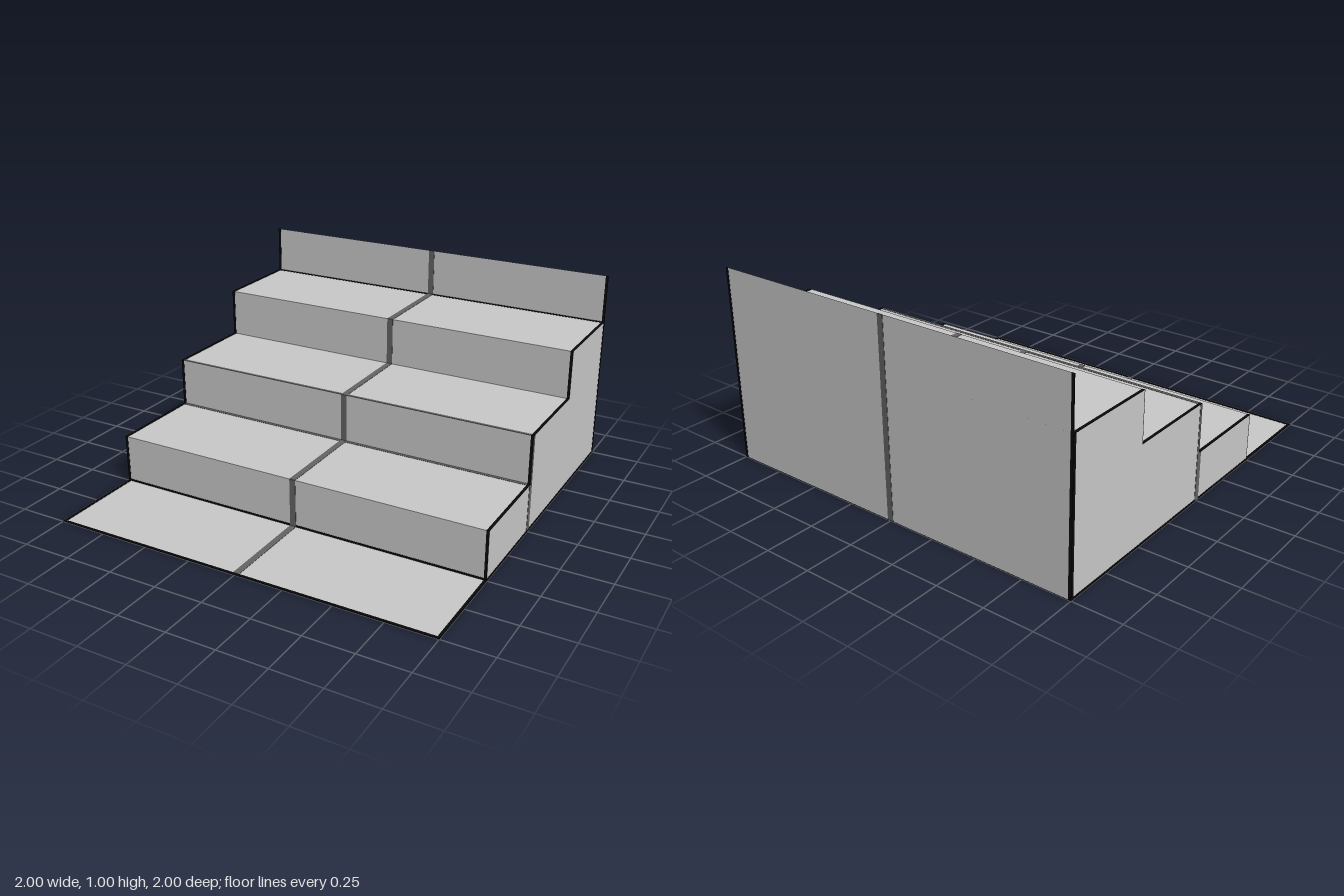
import * as THREE from 'three';

export function createModel() {
  const model = new THREE.Group();
  model.name = 'staircase';
  const paint = (name, color, side = THREE.FrontSide) => {
    const m = new THREE.MeshStandardMaterial({ color, side });
    m.name = name;
    return m;
  };
  const grey = paint('lightGrey', 0xc8c8c8, THREE.DoubleSide);
  const dark = paint('darkGrey', 0x646464);
  const black = paint('black', 0x0a0a0a);
  const add = (name, geometry, material) => {
    const mesh = new THREE.Mesh(geometry, material);
    mesh.name = name;
    model.add(mesh);
    return mesh;
  };

  // Thin painted plate between two corners, centred on its surface
  const T = 0.003;
  const plate = (name, mat, [x0, x1], [y0, y1], [z0, z1]) => {
    const g = new THREE.BoxGeometry(x1 - x0 || T, y1 - y0 || T, z1 - z0 || T);
    add(name, g, mat).position.set((x0 + x1) / 2, (y0 + y1) / 2, (z0 + z1) / 2);
  };

  // Solid steps: side profile (z, y) swept across the width
  const profile = [[0.5, 0], [0.5, 0.25], [0, 0.25], [0, 0.5], [-0.5, 0.5], [-0.5, 0.75], [-1, 0.75], [-1, 0]];
  const shape = new THREE.Shape(profile.map(([z, y]) => new THREE.Vector2(-z, y)));
  const steps = new THREE.ExtrudeGeometry(shape, { depth: 2, bevelEnabled: false });
  steps.translate(0, 0, -1).rotateY(Math.PI / 2);
  add('steps', steps, grey);

  // Sheets that continue the back wall and the floor
  add('backWallTop', new THREE.PlaneGeometry(2, 0.25), grey).position.set(0, 0.875, -1);
  const floor = new THREE.PlaneGeometry(2, 0.5).rotateX(-Math.PI / 2);
  add('frontFloor', floor, grey).position.set(0, 0, 0.75);

  // Lines running over every tread, riser, the wall and the underside
  const W = 0.016, E = 0.014;
  const runs = [[[0, 0], [-1, 1]], [[0, 1], [-1, -1]]];
  for (let i = 0; i < 3; i++) {
    const y = i * 0.25, z = 0.5 - i * 0.5;
    runs.push([[y, y + 0.25], [z, z]], [[y + 0.25, y + 0.25], [z - 0.5, z]]);
  }
  for (const [y, z] of runs) {
    plate('centreLine', dark, [-W, W], y, z);
    plate('leftEdgeLine', black, [1 - E, 1], y, z);
    plate('rightEdgeLine', black, [-1, -1 + E], y, z);
  }

  // Lines across the width
  const X = [-1 + E, 1 - E];
  plate('crossLineLower', dark, X, [0.25, 0.25], [0, W]);
  plate('crossLineUpper', dark, X, [0.5, 0.5], [-W, 0]);
  plate('crossLineUnder', dark, X, [0, 0], [-W, W]);
  plate('floorFrontLine', black, X, [0, 0], [1 - E, 1]);
  plate('floorBackLine', black, X, [0, 0], [-1, -1 + E]);
  plate('topTreadLine', black, X, [0.75, 0.75], [-1, -1 + E]);
  plate('riserBaseLine', black, X, [0, 0.01], [0.5, 0.5]);

  // Lines on both side faces
  for (const s of [-1, 1]) {
    const x = [s, s];
    plate('sideLineFront', dark, x, [0, 0.25], [0, W]);
    plate('sideLineBack', dark, x, [0, 0.5], [-W, 0]);
    plate('sideBackEdge', black, x, [0, 0.75], [-1, -1 + E]);
    plate('sideBaseEdge', black, x, [0, 0.01], [-1, 0.5]);
  }
  return model;
}
